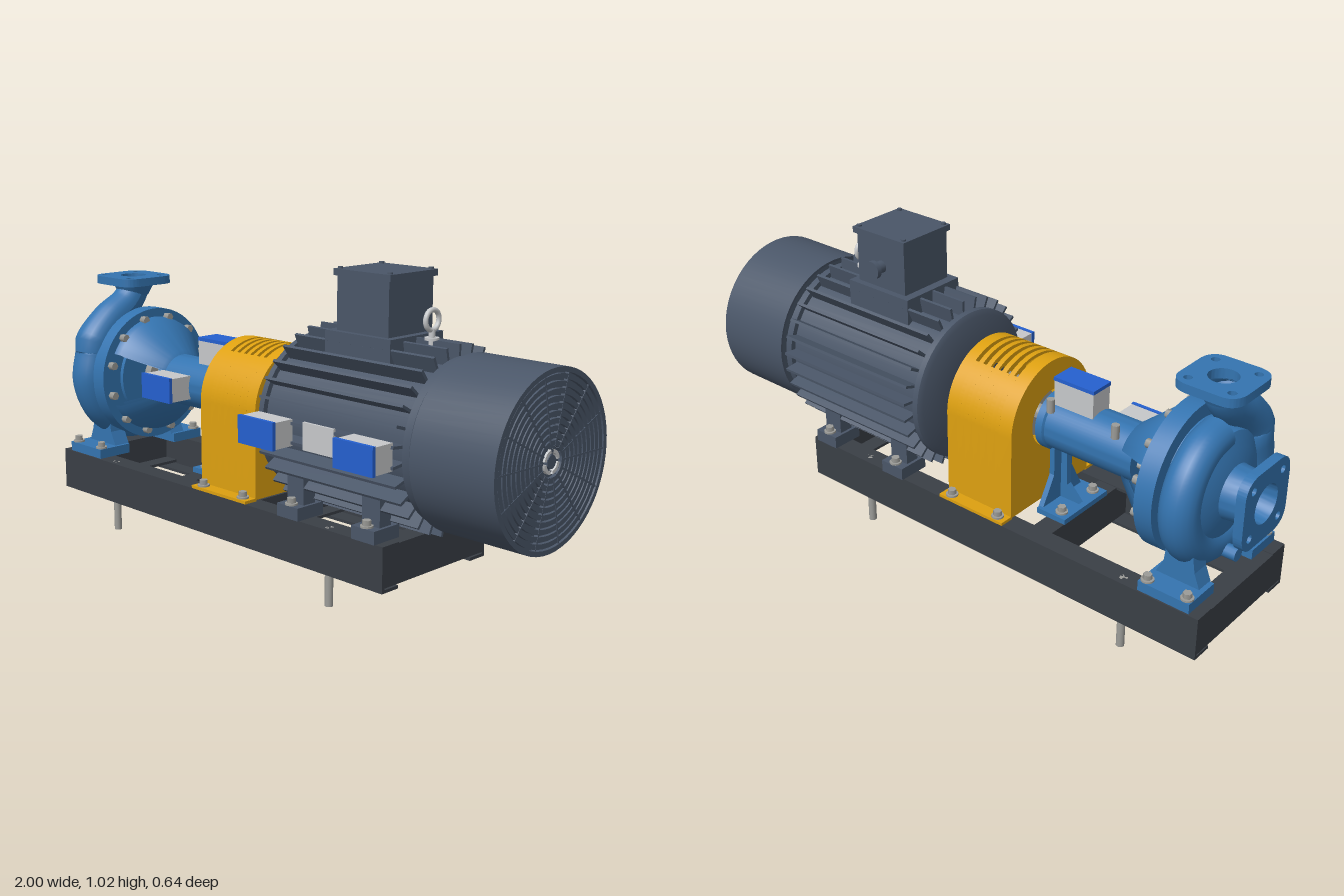
import * as THREE from 'three';
import { toCreasedNormals } from 'three/addons/utils/BufferGeometryUtils.js';

const AY = 0.535, AZ = -0.04; // height and depth of the shaft axis
const mat = (name, color) => Object.assign(new THREE.MeshStandardMaterial({ color, side: THREE.DoubleSide }), { name });

export function createModel() {
  const root = new THREE.Group();
  root.name = 'pumpSet';
  const M = {
    pump: mat('pump blue', 0x3474b0), lid: mat('bright blue', 0x2560cf), guard: mat('safety yellow', 0xdda010),
    motor: mat('slate', 0x4a5668), frame: mat('charcoal', 0x3a3f46), light: mat('light grey', 0xc6c8ca),
    steel: mat('steel', 0x9c9c98),
  };
  const add = (name, geo, m, x = 0, y = 0, z = 0) => {
    const mesh = new THREE.Mesh(geo, m);
    mesh.name = name;
    mesh.position.set(x, y, z);
    root.add(mesh);
    return mesh;
  };
  // box given by its limits on each axis
  const box = (name, m, x0, x1, y0, y1, z0, z1) =>
    add(name, new THREE.BoxGeometry(x1 - x0, y1 - y0, z1 - z0), m, (x0 + x1) / 2, (y0 + y1) / 2, (z0 + z1) / 2);
  // turned part on the shaft axis, profile as [x, radius]
  const turned = (name, m, pts, phi = 0, len = Math.PI * 2, seg = 56) => {
    const g = new THREE.LatheGeometry(pts.map(([x, r]) => new THREE.Vector2(r, x)), seg, phi, len);
    g.rotateZ(-Math.PI / 2);
    return add(name, toCreasedNormals(g, 0.6), m, 0, AY, AZ);
  };
  const disc = (name, m, x0, x1, r) => turned(name, m, [[x0, 0], [x0, r], [x1, r], [x1, 0]]);
  const post = (name, m, x, y0, y1, z, r, sides = 16) =>
    add(name, new THREE.CylinderGeometry(r, r, y1 - y0, sides), m, x, (y0 + y1) / 2, z);
  const nut = (x, y, z) => {
    post('washer', M.steel, x, y, y + 0.006, z, 0.02);
    post('nut', M.steel, x, y + 0.006, y + 0.022, z, 0.014, 6);
  };
  const extrude = (shape, depth) => new THREE.ExtrudeGeometry(shape, { depth, bevelEnabled: false, curveSegments: 24 });
  const polygon = pts => new THREE.Shape(pts.map(p => new THREE.Vector2(...p)));
  const sides = [1, -1]; // both sides of the axis

  // base frame: two inward channels and cross members
  const channel = (h, w, t) => polygon([[0, 0], [w, 0], [w, t], [t, t], [t, h - t], [w, h - t], [w, h], [0, h]]);
  sides.forEach(s => {
    const rail = add('rail', extrude(channel(0.143, 0.07, 0.01), 1.555), M.frame, s > 0 ? -0.955 : 0.6, 0.107, AZ + s * 0.24);
    rail.rotation.y = s * Math.PI / 2;
  });
  [[-0.955, 1], [-0.38, 1], [-0.06, 1], [0.6, -1]].forEach(([x, d]) => {
    const beam = add('crossMember', extrude(channel(0.125, 0.07, 0.01), 0.46), M.frame, x, 0.122, AZ - d * 0.23);
    if (d < 0) beam.rotation.y = Math.PI;
  });
  for (const x of [-0.68, 0.365]) for (const z of [0.175, -0.25]) post('anchorBolt', M.steel, x, 0, 0.25, z, 0.013);

  // motor body, end shields and cooling fins
  disc('motorBody', M.motor, 0.1, 0.7, 0.235);
  turned('frontShield', M.motor, [[0.03, 0], [0.03, 0.07], [0.045, 0.085], [0.085, 0.09], [0.085, 0.235], [0.095, 0.252], [0.115, 0.252], [0.115, 0.22]]);
  turned('rearShield', M.motor, [[0.675, 0.22], [0.675, 0.252], [0.7, 0.252], [0.71, 0.235], [0.71, 0]]);
  for (let i = 0; i < 30; i++) {
    const a = i * Math.PI / 15, g = new THREE.BoxGeometry(0.55, 0.07, 0.009);
    g.translate(0.395, 0.25, 0);
    g.rotateX(a);
    add('coolingFin', g, M.motor, 0, AY, AZ);
  }

  // fan cover with ring grille
  turned('fanCover', M.motor, [[0.715, 0.255], [0.712, 0.265], [1, 0.265], [1, 0.25], [0.98, 0.25]]);
  disc('fanCoverBack', M.motor, 0.72, 0.985, 0.258);
  for (let r = 0.046; r < 0.245; r += 0.0205)
    turned('grilleRing', M.motor, [[0.984, r], [0.997, r], [0.997, r + 0.015], [0.984, r + 0.015]].reverse());
  for (let i = 0; i < 14; i++) {
    const g = new THREE.BoxGeometry(0.012, 0.205, 0.005);
    g.translate(0.992, 0.147, 0);
    g.rotateX(i * Math.PI / 7 + 0.2);
    add('grilleSpoke', g, M.motor, 0, AY, AZ);
  }
  for (let i = 0; i < 4; i++)
    turned('hubArc', M.light, [[0.985, 0.036], [0.997, 0.036], [0.997, 0.026], [0.985, 0.026]], i * Math.PI / 2 + 0.15, 1.27, 10);
  disc('fanHub', M.motor, 0.985, 0.996, 0.02);

  // motor feet
  for (const x of [0.22, 0.53]) sides.forEach(s => {
    const z = d => AZ + s * d;
    const span = (a, b) => [Math.min(z(a), z(b)), Math.max(z(a), z(b))];
    box('motorFoot', M.motor, x - 0.045, x + 0.045, 0.252, 0.293, ...span(0.14, 0.25));
    box('motorLeg', M.motor, x - 0.035, x + 0.035, 0.29, 0.4, ...span(0.165, 0.215));
    nut(x, 0.293, z(0.232));
  });

  // terminal box with lid and cable gland
  box('terminalBase', M.motor, 0.25, 0.51, 0.74, 0.825, -0.16, 0.08);
  box('terminalBox', M.motor, 0.28, 0.485, 0.82, 0.992, -0.138, 0.06);
  box('terminalLid', M.motor, 0.27, 0.495, 0.99, 1.01, -0.147, 0.067);
  for (const x of [0.285, 0.48]) for (const z of [-0.132, 0.052]) post('lidScrew', M.motor, x, 1.008, 1.016, z, 0.008);
  [[0.02, -0.135, -0.175], [0.03, -0.168, -0.184]].forEach(([r, a, b]) => {
    const g = new THREE.CylinderGeometry(r, r, a - b, 16);
    add('cableGland', g.rotateX(Math.PI / 2), M.motor, 0.38, 0.9, (a + b) / 2);
  });

  // lifting eye
  add('liftingEye', new THREE.TorusGeometry(0.03, 0.008, 10, 28).rotateY(Math.PI / 2), M.light, 0.565, 0.877, AZ);
  post('eyeStem', M.light, 0.565, 0.76, 0.85, AZ, 0.01);
  post('eyeCollar', M.light, 0.565, 0.818, 0.826, AZ, 0.022);

  // coupling and shaft inside the guard
  disc('shaft', M.steel, -0.72, 0.06, 0.025);
  disc('coupling', M.steel, -0.18, -0.03, 0.085);

  // coupling guard: arch strips, some open at the crown to form slots
  const arch = (x0, x1, slot) => {
    const R = 0.195, r = 0.185, foot = -0.28;
    const part = (a0, a1, legs) => {
      const s = new THREE.Shape();
      if (legs !== 'left') s.moveTo(R, foot).lineTo(R, 0);
      else s.moveTo(R * Math.cos(a0), R * Math.sin(a0));
      s.absarc(0, 0, R, a0, a1, false);
      if (legs !== 'right') s.lineTo(-R, foot).lineTo(-r, foot).lineTo(-r, 0);
      s.absarc(0, 0, r, a1, a0, true);
      if (legs !== 'left') s.lineTo(r, foot);
      const g = extrude(s, x1 - x0).rotateY(Math.PI / 2);
      add('guardArch', toCreasedNormals(g, 0.5), M.guard, x0, AY, AZ);
    };
    if (!slot) return part(0, Math.PI, 'both');
    part(0, 1.0, 'right');
    part(Math.PI - 1.0, Math.PI, 'left');
  };
  arch(-0.24, -0.19);
  for (let i = 0; i < 6; i++) {
    const x = -0.19 + i * 0.031;
    arch(x, x + 0.014, true);
    arch(x + 0.014, i < 5 ? x + 0.031 : 0.02);
  }
  [[-0.24, 0.095], [0.012, 0.095]].forEach(([x, hole]) => {
    const s = new THREE.Shape();
    s.moveTo(0.19, -0.28).lineTo(0.19, 0).absarc(0, 0, 0.19, 0, Math.PI, false).lineTo(-0.19, -0.28);
    s.holes.push(new THREE.Path().absarc(0, 0, hole, 0, Math.PI * 2, true));
    add('guardEnd', extrude(s, 0.008).rotateY(Math.PI / 2), M.guard, x, AY, AZ);
  });
  sides.forEach(s => {
    box('guardFlange', M.guard, -0.24, 0.02, 0.25, 0.26, AZ + s * 0.215 - 0.025, AZ + s * 0.215 + 0.025);
    for (const x of [-0.205, -0.015]) nut(x, 0.26, AZ + s * 0.218);
  });

  // pump volute: a spiral that swells and turns up into the outlet
  const spiral = [];
  for (let i = 0; i <= 10; i++) {
    const a = Math.PI * (0.5 + i * 0.165), r = 0.165 + i * 0.0038;
    spiral.push(new THREE.Vector3(0, Math.sin(a) * r, Math.cos(a) * r));
  }
  [[0.185, 0.115], [0.115, 0.195], [0.035, 0.25], [0, 0.3], [0, 0.325]].forEach(([z, y]) => spiral.push(new THREE.Vector3(0, y, z)));
  const path = new THREE.CatmullRomCurve3(spiral), N = 110, K = 20;
  const volute = new THREE.TubeGeometry(path, N, 1, K);
  const pos = volute.attributes.position, v = new THREE.Vector3();
  for (let i = 0; i <= N; i++) {
    const t = i / N, c = path.getPointAt(t);
    const r = t < 0.75 ? 0.055 + 0.02 * t : 0.07 - 0.018 * (t - 0.75) / 0.25;
    for (let j = 0; j <= K; j++) {
      const k = i * (K + 1) + j;
      v.fromBufferAttribute(pos, k).sub(c).multiplyScalar(r).add(c);
      pos.setXYZ(k, v.x, v.y, v.z);
    }
  }
  volute.computeVertexNormals();
  add('volute', volute, M.pump, -0.83, AY, AZ);
  turned('casing', M.pump, [[-0.9, 0.08], [-0.89, 0.13], [-0.87, 0.175], [-0.775, 0.19], [-0.775, 0.235], [-0.715, 0.235], [-0.715, 0.16], [-0.7, 0.16], [-0.7, 0]]);
  turned('suctionNeck', M.pump, [[-0.88, 0.1], [-0.9, 0.085], [-0.95, 0.08], [-0.97, 0.095]].reverse());
  turned('suctionBore', M.pump, [[-1, 0.062], [-0.9, 0.055], [-0.9, 0]]);

  // square flanges with bore and bolt holes
  const flange = (size, bore, depth) => {
    const h = size / 2, c = h * 0.5, s = new THREE.Shape();
    s.moveTo(h, -c);
    [0, 1, 2, 3].forEach(q => {
      const a = q * Math.PI / 2, rot = (x, y) => [x * Math.cos(a) - y * Math.sin(a), x * Math.sin(a) + y * Math.cos(a)];
      s.lineTo(...rot(h, c));
      s.quadraticCurveTo(...rot(h, h * 0.95), ...rot(c, h));
      const [hx, hy] = rot(h * 0.65, h * 0.65);
      s.holes.push(new THREE.Path().absarc(hx, hy, 0.013, 0, Math.PI * 2, true));
    });
    s.holes.push(new THREE.Path().absarc(0, 0, bore, 0, Math.PI * 2, true));
    return toCreasedNormals(extrude(s, depth), 0.5);
  };
  add('suctionFlange', flange(0.24, 0.062, 0.03).rotateY(Math.PI / 2), M.pump, -1, AY, AZ);
  add('outletFlange', flange(0.215, 0.045, 0.028).rotateX(-Math.PI / 2), M.pump, -0.83, 0.852, AZ);
  add('outletNeck', new THREE.CylinderGeometry(0.075, 0.052, 0.045, 32, 1, true), M.pump, -0.83, 0.832, AZ);

  // casing bolts, plugs and seal parts
  for (let i = 0; i < 12; i++) {
    const a = (i + 0.5) * Math.PI / 6, g = new THREE.CylinderGeometry(0.014, 0.014, 0.025, 6).rotateZ(Math.PI / 2);
    add('casingBolt', g, M.steel, -0.703, AY + 0.207 * Math.sin(a), AZ + 0.207 * Math.cos(a));
  }
  add('drainPlug', new THREE.CylinderGeometry(0.022, 0.022, 0.05, 12).rotateZ(Math.PI / 2), M.pump, -0.905, 0.33, AZ);
  disc('sealGland', M.steel, -0.69, -0.66, 0.07);
  disc('sealSleeve', M.steel, -0.66, -0.6, 0.04);
  sides.forEach(s => add('glandBolt', new THREE.CylinderGeometry(0.01, 0.01, 0.08, 8).rotateZ(Math.PI / 2), M.steel, -0.65, AY, AZ + s * 0.06));

  // bearing bracket: two cone halves leaving side windows, then the housing
  for (const phi of [0.5, 1.5]) {
    turned('bracketCone', M.pump, [[-0.715, 0.205], [-0.69, 0.2], [-0.57, 0.1], [-0.56, 0.085], [-0.58, 0.085], [-0.7, 0.18]], Math.PI * phi - 1.1, 2.2, 28);
  }
  turned('bearingHousing', M.pump, [[-0.6, 0], [-0.6, 0.088], [-0.28, 0.088], [-0.275, 0.095], [-0.25, 0.095], [-0.25, 0.06], [-0.24, 0.055], [-0.24, 0]]);
  for (const x of [-0.53, -0.29]) post('oilPlug', M.steel, x, 0.6, 0.645, -0.11, 0.013, 8);

  // pump feet on the rails
  sides.forEach(s => {
    const z = AZ + s * 0.17;
    box('pumpFoot', M.pump, -0.92, -0.745, 0.25, 0.283, z - 0.065, z + 0.065);
    const leg = polygon([[-0.075, 0], [0.075, 0], [0.05, 0.05], [0.04, 0.14], [-0.04, 0.14], [-0.055, 0.05]]);
    add('pumpLeg', extrude(leg, 0.06), M.pump, -0.83, 0.28, AZ + s * 0.13 - 0.03);
    for (const x of [-0.9, -0.765]) nut(x, 0.283, z + s * 0.045);
  });

  // support leg under the bearing housing
  box('supportFoot', M.pump, -0.385, -0.275, 0.25, 0.268, AZ - 0.11, AZ + 0.11);
  const legShape = polygon([[-0.1, 0], [0.1, 0], [0.045, 0.1], [0.045, 0.2], [-0.045, 0.2], [-0.045, 0.1]]);
  add('supportLeg', extrude(legShape, 0.018).rotateY(Math.PI / 2), M.pump, -0.29, 0.262, AZ);
  const web = polygon([[-0.37, 0.262], [-0.28, 0.262], [-0.28, 0.45], [-0.31, 0.45], [-0.315, 0.32]]);
  add('supportWeb', extrude(web, 0.02), M.pump, 0, 0, AZ - 0.01);
  sides.forEach(s => nut(-0.35, 0.268, AZ + s * 0.08));

  // sensor boxes with bright lids
  for (const [x, z0, z1] of [[-0.5, 0.04, 0.135], [0.195, 0.235, 0.32], [0.588, 0.235, 0.32]]) {
    box('sensorBox', M.light, x - 0.073, x + 0.073, 0.495, 0.577, z0, z1 - 0.012);
    box('sensorLid', M.lid, x - 0.075, x + 0.075, 0.493, 0.58, z1 - 0.012, z1);
  }
  box('topSensorBox', M.light, -0.428, -0.282, 0.61, 0.695, -0.083, -0.001);
  box('topSensorLid', M.lid, -0.43, -0.28, 0.695, 0.707, -0.085, 0.001);
  box('ratingPlate', M.light, 0.318, 0.443, 0.493, 0.578, 0.235, 0.244);
  return root;
}
